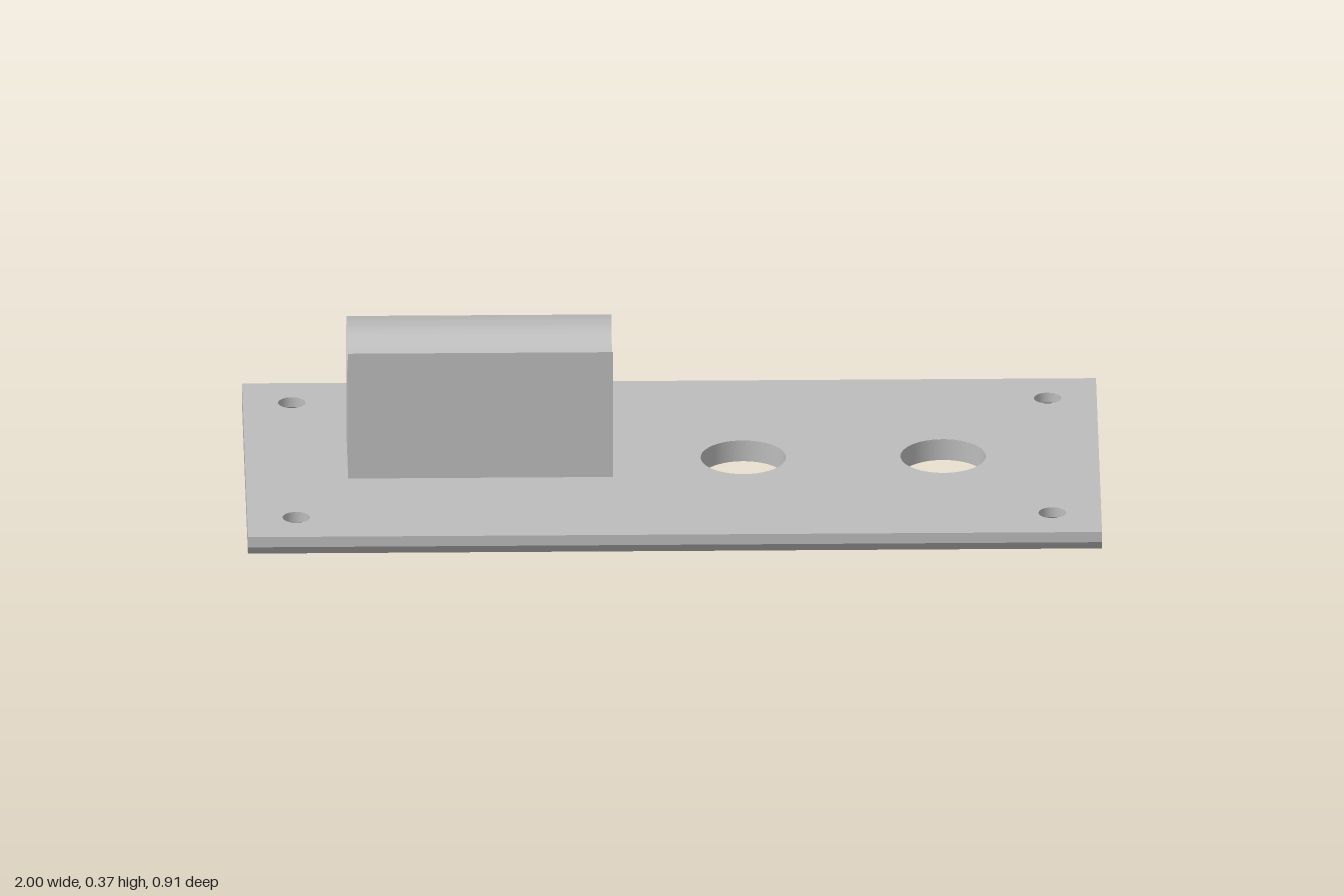
import * as THREE from 'three';
import { toCreasedNormals } from 'three/addons/utils/BufferGeometryUtils.js';

const TOP = 0.053, CHAMFER_Y = 0.027, HALF_Z = 0.456, BOTTOM_Z = 0.43;
const SEGMENTS = 48;
const SCREW = { r: 0.032, sinkR: 0.06, sinkY: 0.028 };
const bigHoles = [0.167, 0.635].map(x => ({ x, z: 0, r: 0.1 }));
const screwHoles = [-1, 1].flatMap(sx => [-1, 1].map(sz => ({ x: sx * 0.885, z: sz * 0.34 })));

// Flat convex polygon, corners counter-clockwise seen from its front
function facet(points) {
  const pos = [];
  for (let i = 1; i < points.length - 1; i++) pos.push(...points[0], ...points[i], ...points[i + 1]);
  const g = new THREE.BufferGeometry();
  g.setAttribute('position', new THREE.Float32BufferAttribute(pos, 3));
  g.computeVertexNormals();
  return g;
}

// Plate face pierced by round holes and optional triangles
function piercedFace(halfZ, circles, triangles) {
  const s = new THREE.Shape([[-1, -halfZ], [1, -halfZ], [1, halfZ], [-1, halfZ]].map(p => new THREE.Vector2(...p)));
  for (const c of circles) s.holes.push(new THREE.Path().absarc(c.x, c.z, c.r, 0, Math.PI * 2));
  for (const t of triangles) s.holes.push(new THREE.Path(t.map(p => new THREE.Vector2(...p))));
  return new THREE.ShapeGeometry(s, SEGMENTS);
}

export function createModel() {
  const model = new THREE.Group();
  const grey = new THREE.MeshStandardMaterial({ color: 0xbcbcbc });
  grey.name = 'grey';
  const add = (name, geometry, parent = model) => {
    const m = new THREE.Mesh(geometry, grey);
    m.name = name;
    parent.add(m);
    return m;
  };

  // Triangular marks sunk into the underside, pointing away from each other
  const triangles = bigHoles.map(({ x }, i) => [0, 1, 2].map(k => {
    const a = k * Math.PI * 2 / 3 + (i === 0 ? Math.PI : 0);
    return [x + 0.056 * Math.cos(a), -0.2 + 0.056 * Math.sin(a)];
  }));

  // Plate faces
  const plate = new THREE.Group();
  plate.name = 'basePlate';
  model.add(plate);
  const topCircles = [...bigHoles, ...screwHoles.map(h => ({ ...h, r: SCREW.r }))];
  const bottomCircles = [...bigHoles, ...screwHoles.map(h => ({ ...h, r: SCREW.sinkR }))];
  add('plateTop', piercedFace(HALF_Z, topCircles, []).rotateX(-Math.PI / 2).translate(0, TOP, 0), plate);
  add('plateUnderside', piercedFace(BOTTOM_Z, bottomCircles, triangles).rotateX(Math.PI / 2), plate);

  // Plate rim, made once and turned half round for the opposite side
  for (const turn of [0, Math.PI]) {
    add('plateLongEdge', facet([[-1, CHAMFER_Y, HALF_Z], [1, CHAMFER_Y, HALF_Z], [1, TOP, HALF_Z], [-1, TOP, HALF_Z]]).rotateY(turn), plate);
    add('plateChamfer', facet([[-1, 0, BOTTOM_Z], [1, 0, BOTTOM_Z], [1, CHAMFER_Y, HALF_Z], [-1, CHAMFER_Y, HALF_Z]]).rotateY(turn), plate);
    add('plateEnd', facet([[1, 0, BOTTOM_Z], [1, 0, -BOTTOM_Z], [1, CHAMFER_Y, -HALF_Z],
      [1, TOP, -HALF_Z], [1, TOP, HALF_Z], [1, CHAMFER_Y, HALF_Z]]).rotateY(turn), plate);
  }

  // Hole walls, profile running downward so they face inward
  const wall = (name, h, r0, y0, r1, y1) =>
    add(name, new THREE.LatheGeometry([new THREE.Vector2(r0, y0), new THREE.Vector2(r1, y1)], SEGMENTS), plate)
      .position.set(h.x, 0, h.z);
  for (const h of bigHoles) wall('largeHoleWall', h, h.r, TOP, h.r, 0);
  for (const h of screwHoles) {
    wall('screwHoleWall', h, SCREW.r, TOP, SCREW.r, SCREW.sinkY);
    wall('screwCountersink', h, SCREW.r, SCREW.sinkY, SCREW.sinkR, 0);
  }

  // Recess walls and floors of the triangular marks
  const depth = 0.02;
  for (const t of triangles) {
    const at = (p, y) => [p[0], y, p[1]];
    add('arrowRecessFloor', facet(t.map(p => at(p, depth))), plate);
    t.forEach((p, i) => {
      const q = t[(i + 1) % 3];
      add('arrowRecessWall', facet([at(p, 0), at(q, 0), at(q, depth), at(p, depth)]), plate);
    });
  }

  // Upright block with a cradle groove along its top
  const half = 0.112, rimY = 0.371, grooveY = 0.292;
  const sag = rimY - grooveY;
  const radius = (half * half + sag * sag) / (2 * sag);
  const centreY = grooveY + radius;
  const a = Math.atan2(centreY - rimY, half);
  const profile = new THREE.Shape();
  profile.moveTo(-half, TOP);
  profile.lineTo(half, TOP);
  profile.lineTo(half, rimY);
  profile.absarc(0, centreY, radius, -a, -Math.PI + a, true);
  profile.closePath();
  const block = new THREE.ExtrudeGeometry(profile, { depth: 0.62, bevelEnabled: false, curveSegments: 32 });
  block.rotateY(Math.PI / 2).translate(-0.76, 0, 0);
  add('cradleBlock', toCreasedNormals(block, 0.5));

  return model;
}
